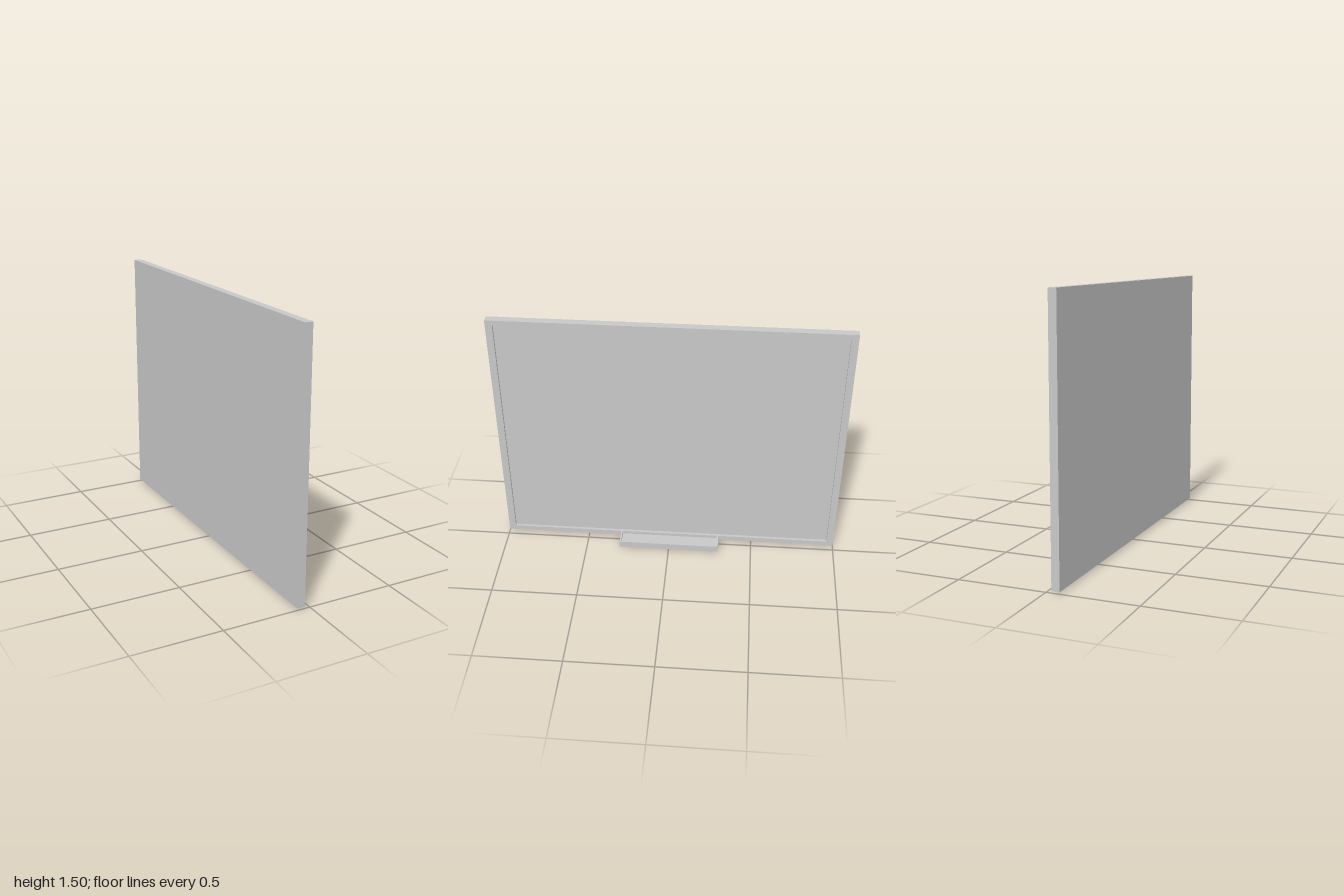
import * as THREE from 'three';

const lightGrey = new THREE.MeshStandardMaterial({ color: 0xc8c8c8 });
lightGrey.name = 'lightGrey';

// Box given by its lower and upper corners
function block(name, [x0, y0, z0], [x1, y1, z1]) {
  const mesh = new THREE.Mesh(new THREE.BoxGeometry(x1 - x0, y1 - y0, z1 - z0), lightGrey);
  mesh.position.set((x0 + x1) / 2, (y0 + y1) / 2, (z0 + z1) / 2);
  mesh.name = name;
  return mesh;
}

// Closed rectangle path
function rect(Type, x0, y0, x1, y1) {
  const p = new Type();
  p.moveTo(x0, y0).lineTo(x1, y0).lineTo(x1, y1).lineTo(x0, y1).closePath();
  return p;
}

export function createModel() {
  const model = new THREE.Group();
  model.name = 'wallBoard';

  const back = -0.075, front = -0.03, recess = 0.015;
  const bottom = 0.01, top = 1.495;

  // Backing panel, with the writing surface set back behind the frame
  model.add(block('boardPanel', [back, bottom, -1], [front - recess, top, 1]));

  // Raised frame around the writing surface, extruded towards +x
  const outline = rect(THREE.Shape, -1, bottom, 1, top);
  outline.holes.push(rect(THREE.Path, -0.96, 0.04, 0.96, 1.465));
  const frame = new THREE.Mesh(
    new THREE.ExtrudeGeometry(outline, { depth: recess, bevelEnabled: false }), lightGrey);
  frame.rotation.y = Math.PI / 2;
  frame.position.x = front - recess;
  frame.name = 'boardFrame';
  model.add(frame);

  // Pen tray: a floor with a thin lip on three sides
  const tray = new THREE.Group();
  tray.name = 'penTray';
  tray.add(block('trayFloor', [-0.06, 0, -0.3], [0.07, 0.02, 0.3]));
  tray.add(block('trayFrontLip', [0.06, 0.02, -0.3], [0.07, 0.04, 0.3]));
  for (const s of [-1, 1]) {
    tray.add(block('trayEndLip', [-0.06, 0.02, s * 0.295 - 0.005], [0.06, 0.04, s * 0.295 + 0.005]));
  }
  model.add(tray);

  return model;
}
